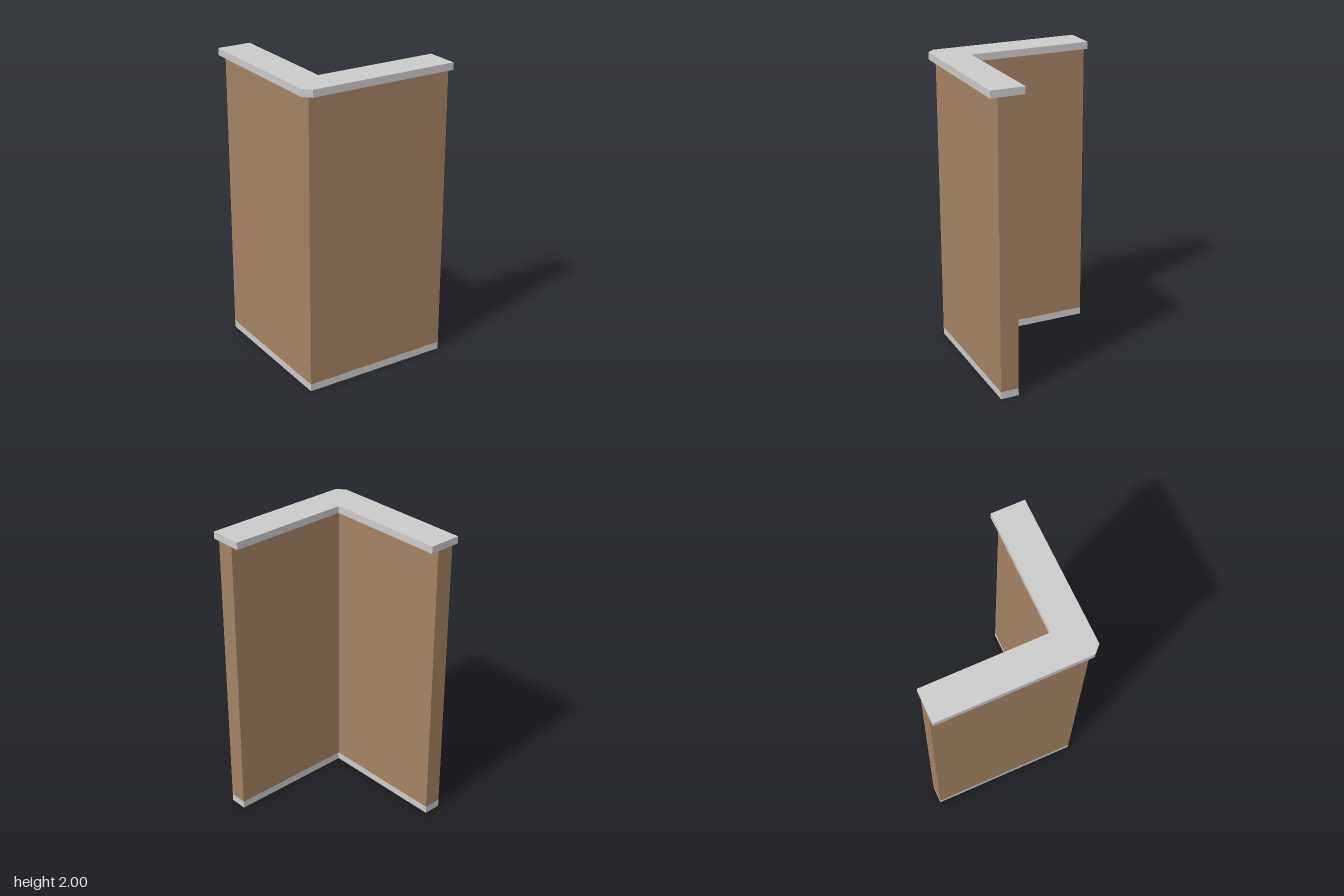
import * as THREE from 'three';

const END = 0.523;          // free ends of both arms
const BASE_TOP = 0.05, CAP_BOTTOM = 1.953, HEIGHT = 2;

// L-shaped plan as [x, z] points; the corner sits at -x, +z
function planL(outer, inner, chamfer = 0) {
  const corner = chamfer
    ? [[-outer, outer - chamfer], [-outer + chamfer, outer]]
    : [[-outer, outer]];
  return [[-outer, -END], ...corner, [END, outer], [END, inner], [-inner, inner], [-inner, -END]];
}

const toShape = (points, flip) =>
  new THREE.Shape(points.map(([x, z]) => new THREE.Vector2(x, flip * z)));

// Upright prism over a plan, from y0 to y1
function slab(name, plan, y0, y1, material) {
  const geometry = new THREE.ExtrudeGeometry(toShape(plan, -1), {
    depth: y1 - y0, bevelEnabled: false,
  });
  geometry.rotateX(-Math.PI / 2);
  geometry.translate(0, y0, 0);
  const mesh = new THREE.Mesh(geometry, material);
  mesh.name = name;
  return mesh;
}

export function createModel() {
  const group = new THREE.Group();
  group.name = 'cornerWall';
  const grey = new THREE.MeshStandardMaterial({ color: 0xcccccc });
  const brown = new THREE.MeshStandardMaterial({ color: 0xa58462 });

  const wallPlan = planL(0.475, 0.354);
  const capPlan = planL(END, 0.3, 0.05);

  // Skirting flush with the wall, the wall itself, and the overhanging cap
  group.add(slab('skirting', wallPlan, 0, BASE_TOP, grey));
  group.add(slab('wall', wallPlan, BASE_TOP, CAP_BOTTOM, brown));
  group.add(slab('cap', capPlan, CAP_BOTTOM, HEIGHT, grey));

  // Brown underside of the cap, facing down
  const soffitGeometry = new THREE.ShapeGeometry(toShape(capPlan, 1));
  soffitGeometry.rotateX(Math.PI / 2);
  soffitGeometry.translate(0, CAP_BOTTOM - 0.001, 0);
  const soffit = new THREE.Mesh(soffitGeometry, brown);
  soffit.name = 'capUnderside';
  group.add(soffit);

  return group;
}
